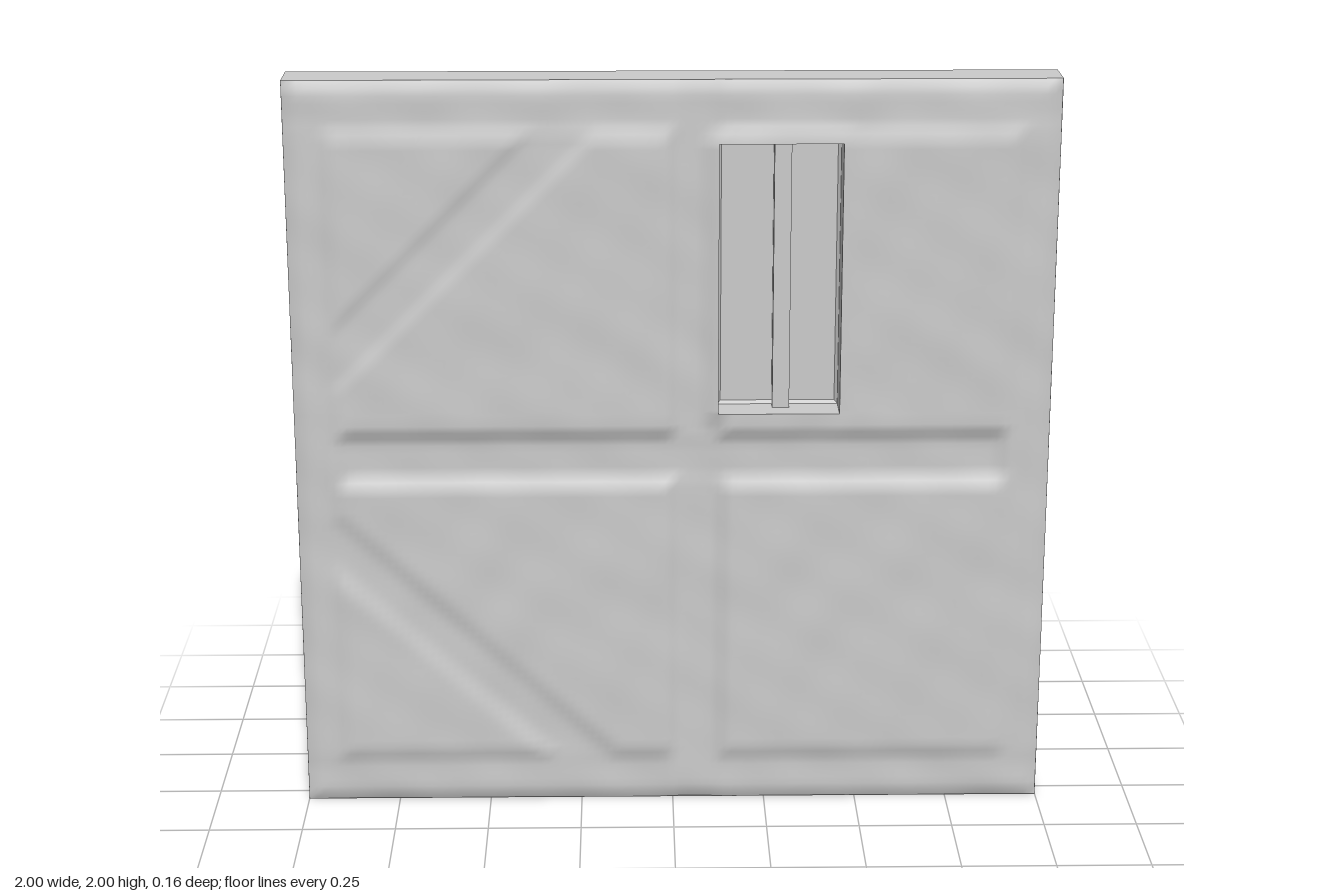
import * as THREE from 'three';

const material = new THREE.MeshStandardMaterial({ color: 0xcccccc, side: THREE.DoubleSide });
const win = { x0: 0.12, x1: 0.44, y0: 1.11, y1: 1.835 };
const FRONT = 0.074, FLOOR = -0.03;
const smooth = THREE.MathUtils.smoothstep;

// 1 inside a soft-edged band of the given half width, 0 outside
const band = (d, half) => 1 - smooth(Math.abs(d), half - 0.02, half + 0.02);

// Depth of the worn plaster surface: sunken beams, braces and border
function relief(x, y) {
  const beams = Math.max(
    0.016 * band(x - 0.065, 0.065),
    0.018 * band(y - 0.985, 0.065) * band(x, 0.88),
    x < 0 && y > 1.1 ? 0.007 * band((y - x - 2.15) * 0.707, 0.06) : 0,
    x < 0 && y < 0.92 ? 0.01 * band((y + 0.93 * x + 0.09) * 0.73, 0.06) : 0,
    0.01 * smooth(Math.abs(x), 0.87, 0.92),
    0.012 * smooth(Math.abs(y - 1), 0.84, 0.89)
  );
  const wear = 0.002 * Math.sin(9 * x + 3 * Math.sin(5 * y)) * Math.sin(8 * y + 2 * Math.sin(7 * x))
    + 0.001 * Math.sin(31 * x + 11 * y) * Math.sin(27 * y - 8 * x);
  // Flat right beside the window opening
  const dx = Math.max(win.x0 - x, x - win.x1, 0), dy = Math.max(win.y0 - y, y - win.y1, 0);
  const open = smooth(Math.hypot(dx, dy), 0, 0.05);
  // Rounded outer edge
  const edge = Math.min(1 - Math.abs(x), 1 - Math.abs(y - 1));
  const round = 0.012 * Math.pow(Math.max(0, 1 - edge / 0.04), 2);
  return FRONT + (wear - beams) * open - round;
}

// Thin front sheet with a window-shaped hole
function frontSheet() {
  const n = 100, g = new THREE.PlaneGeometry(2, 2, n, n);
  g.translate(0, 1, 0);
  const p = g.attributes.position;
  for (let i = 0; i < p.count; i++) {
    const x = p.getX(i);
    let y = p.getY(i);
    if (Math.abs(y - 1.1) < 0.001) y = win.y0;
    if (Math.abs(y - 1.84) < 0.001) y = win.y1;
    p.setXYZ(i, x, y, relief(x, y));
  }
  const src = g.index.array, kept = [];
  for (let i = 0; i < src.length; i += 3) {
    const t = [src[i], src[i + 1], src[i + 2]];
    const cx = t.reduce((s, k) => s + p.getX(k), 0) / 3;
    const cy = t.reduce((s, k) => s + p.getY(k), 0) / 3;
    if (cx < win.x0 || cx > win.x1 || cy < win.y0 || cy > win.y1) kept.push(...t);
  }
  g.setIndex(kept);
  g.computeVertexNormals();
  return g;
}

// Rectangular rings joined into bands; profile entries are [inset, z] from front to back
function rectLoft(x0, x1, y0, y1, profile) {
  const pos = [];
  const ring = ([s, z]) => [[x0 + s, y0 + s, z], [x1 - s, y0 + s, z], [x1 - s, y1 - s, z], [x0 + s, y1 - s, z]];
  for (let k = 0; k + 1 < profile.length; k++) {
    const a = ring(profile[k]), b = ring(profile[k + 1]);
    for (let i = 0; i < 4; i++) {
      const j = (i + 1) % 4;
      pos.push(...a[i], ...b[i], ...b[j], ...a[i], ...b[j], ...a[j]);
    }
  }
  const g = new THREE.BufferGeometry();
  g.setAttribute('position', new THREE.Float32BufferAttribute(pos, 3));
  g.computeVertexNormals();
  return g;
}

export function createModel() {
  const group = new THREE.Group();
  group.name = 'wallPanel';
  const add = (name, geometry) => {
    const mesh = new THREE.Mesh(geometry, material);
    mesh.name = name;
    group.add(mesh);
    return mesh;
  };

  add('frontSheet', frontSheet());

  // Outer sides and the lip folded over at the back
  add('outerFrame', rectLoft(-1, 1, 0, 2, [[0, 0.053], [0, -0.065], [0.015, -0.08], [0.075, -0.08]]));

  // Window pocket pushed back through the sheet
  const { x0, x1, y0, y1 } = win;
  add('windowReveal', rectLoft(x0, x1, y0, y1, [[0, FRONT], [0, FLOOR + 0.01], [0.008, FLOOR]]));
  const pane = add('windowPane', new THREE.PlaneGeometry(x1 - x0, y1 - y0));
  pane.position.set((x0 + x1) / 2, (y0 + y1) / 2, FLOOR);

  // Upright bar in the middle of the window
  const bar = add('windowBar', new THREE.BoxGeometry(0.045, y1 - y0, 0.045));
  bar.position.set(0.287, (y0 + y1) / 2, FLOOR + 0.0235);

  return group;
}
